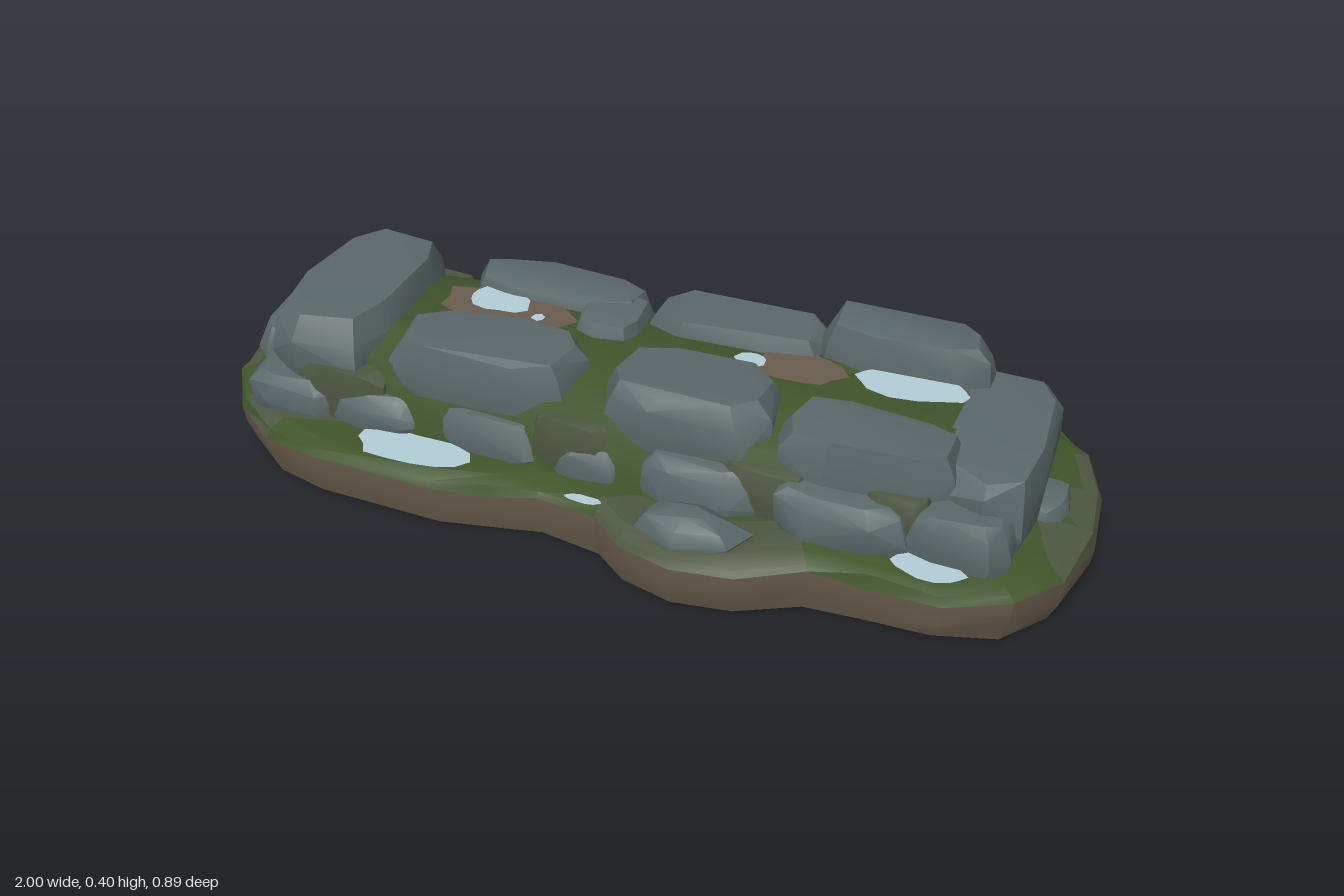
import * as THREE from 'three';
import { toCreasedNormals } from 'three/addons/utils/BufferGeometryUtils.js';
import { ConvexGeometry } from 'three/addons/geometries/ConvexGeometry.js';

const mat = (name, color) => {
  const m = new THREE.MeshStandardMaterial({ color });
  m.name = name;
  return m;
};

// Small seeded generator, returns -1..1
let seed = 7;
const rnd = () => {
  seed = (seed * 16807) % 2147483647;
  return (seed / 2147483647) * 2 - 1;
};

// Ground outline as [x, z]
const OUTLINE = [
  [-1, 0], [-0.97, 0.13], [-0.9, 0.24], [-0.78, 0.33], [-0.65, 0.37], [-0.35, 0.375], [-0.22, 0.35],
  [-0.12, 0.33], [0.02, 0.345], [0.1, 0.41], [0.22, 0.445], [0.35, 0.425], [0.48, 0.355], [0.6, 0.345],
  [0.75, 0.35], [0.88, 0.3], [0.96, 0.2], [1, 0.05], [0.99, -0.1], [0.95, -0.23], [0.87, -0.31],
  [0.75, -0.345], [0.62, -0.35], [0.52, -0.33], [0.42, -0.38], [0.2, -0.445], [0.08, -0.39],
  [-0.05, -0.34], [-0.2, -0.33], [-0.4, -0.36], [-0.6, -0.37], [-0.78, -0.345], [-0.9, -0.25], [-0.97, -0.13],
];

// Outline drawn in by d, at height y with optional height jitter
const ring = (d, y, jitter = 0) =>
  OUTLINE.map(([x, z]) => [x * (1 - d), y + rnd() * jitter, z * (1 - d / 0.4)]);

// Skin through closed rings, lowest first
function loft(rings, { top = false, bottom = false } = {}) {
  const n = rings[0].length, pos = rings.flat(2), idx = [];
  for (let r = 0; r < rings.length - 1; r++) {
    for (let i = 0; i < n; i++) {
      const a = r * n + i, b = r * n + ((i + 1) % n);
      idx.push(a, b, b + n, a, b + n, a + n);
    }
  }
  const cap = (r, up) => {
    const c = pos.length / 3;
    pos.push(0, rings[r].reduce((s, p) => s + p[1], 0) / n, 0);
    for (let i = 0; i < n; i++) {
      const a = r * n + i, b = r * n + ((i + 1) % n);
      idx.push(c, up ? a : b, up ? b : a);
    }
  };
  if (top) cap(rings.length - 1, true);
  if (bottom) cap(0, false);
  const g = new THREE.BufferGeometry();
  g.setAttribute('position', new THREE.Float32BufferAttribute(pos, 3));
  g.setIndex(idx);
  return toCreasedNormals(g, 0.5);
}

// Gives every triangle whose centre passes the test the second material
function paint(g, test) {
  const p = g.attributes.position;
  for (let i = 0; i < p.count; i += 3) {
    const x = (p.getX(i) + p.getX(i + 1) + p.getX(i + 2)) / 3;
    const z = (p.getZ(i) + p.getZ(i + 1) + p.getZ(i + 2)) / 3;
    g.addGroup(i, 3, test(x, Math.abs(z)) ? 1 : 0);
  }
  return g;
}

// Faceted boulder filling the given box: [x0, x1, y0, y1, z0, z1]; a low power makes it boxier
function rock([x0, x1, y0, y1, z0, z1], { rough = 0.07, top = 0.76, n = 9, power = 0.6 } = {}) {
  const pts = [], turn = rnd() * 0.4;
  const bulge = (v) => Math.sign(v) * Math.abs(v) ** power;
  for (const [h, s] of [[0, 0.85], [0.35, 1], [0.72, (0.95 + top) / 1.85], [1, top]]) {
    for (let i = 0; i < n; i++) {
      const a = (i / n) * Math.PI * 2 + turn, k = s * (1 + rnd() * rough) / 2;
      pts.push(new THREE.Vector3(
        (x0 + x1) / 2 + bulge(Math.cos(a)) * k * (x1 - x0),
        y0 + (h - (h === 1 ? Math.abs(rnd()) * 0.1 : rnd() * 0.1)) * (y1 - y0),
        (z0 + z1) / 2 + bulge(Math.sin(a)) * k * (z1 - z0)));
    }
  }
  return toCreasedNormals(new ConvexGeometry(pts), 0.5);
}

// Flat irregular patch lying on the ground
function patch(w, d) {
  const pts = [];
  for (let i = 0; i < 14; i++) {
    const a = (i / 14) * Math.PI * 2, k = 1 + rnd() * 0.14;
    pts.push(new THREE.Vector2(Math.cos(a) * w / 2 * k, Math.sin(a) * d / 2 * k));
  }
  return new THREE.ShapeGeometry(new THREE.Shape(pts)).rotateX(-Math.PI / 2);
}

export function createModel() {
  seed = 7;
  const group = new THREE.Group();
  const stone = mat('slate stone', 0x5a6769);
  const moss = mat('moss green', 0x40542a);
  const dryMoss = mat('dull moss', 0x4c563f);
  const earth = mat('brown earth', 0x685c4c);
  const water = mat('pale water', 0xb2ced8);
  const add = (name, geometry, material) => {
    const m = new THREE.Mesh(geometry, material);
    m.name = name;
    group.add(m);
    return m;
  };

  // Earth slab with a mossy lip and top, duller on the side bulges and at the ends
  const lip = ring(0, 0.106, 0.016);
  add('earthBase', loft([ring(0.022, 0.006, 0.005), ring(0.004, 0.06, 0.012), lip], { bottom: true }), earth);
  const mossTop = loft([lip, ring(0.01, 0.126, 0.006), ring(0.04, 0.138, 0.004), ring(0.13, 0.142)], { top: true });
  add('mossTop', paint(mossTop, (x, z) => (x > 0.04 && x < 0.47 && z > 0.29) || (x > 0.9 && z < 0.2)
    || (x < -0.93 && z < 0.1) || (x > -0.84 && x < -0.66 && z > 0.2 && z < 0.3)), [moss, dryMoss]);

  // Mossy mound that shows between the rocks
  const oval = (hx, hz, y) => Array.from({ length: 24 }, (_, i) => {
    const a = Math.PI - (i / 24) * Math.PI * 2, c = Math.cos(a), s = Math.sin(a);
    return [Math.sign(c) * Math.abs(c) ** 0.5 * hx, y + rnd() * 0.006, Math.sign(s) * Math.abs(s) ** 0.5 * hz];
  });
  add('mossMound', loft([oval(0.86, 0.265, 0.13), oval(0.83, 0.245, 0.21), oval(0.78, 0.215, 0.275),
    oval(0.7, 0.13, 0.312)], { top: true }), moss);

  // Large upper rocks
  const upper = {
    leftBlock: [-0.845, -0.55, 0.16, 0.375, -0.25, 0.25],
    backRockLeft: [-0.5, -0.04, 0.16, 0.355, -0.25, -0.09],
    backRockInner: [-0.2, -0.03, 0.18, 0.345, -0.2, 0.0],
    backRockMiddle: [-0.06, 0.39, 0.16, 0.355, -0.25, -0.07],
    backBoulder: [0.33, 0.73, 0.2, 0.405, -0.25, -0.09],
    frontRockLeft: [-0.55, -0.08, 0.16, 0.36, 0.01, 0.24],
    frontRockMiddle: [-0.05, 0.35, 0.16, 0.365, 0.0, 0.235],
    frontRockRight: [0.33, 0.74, 0.16, 0.345, 0.04, 0.24],
    rightBlock: [0.66, 0.89, 0.14, 0.315, -0.255, 0.23],
  };
  for (const [name, box] of Object.entries(upper)) add(name, rock(box, { rough: 0.05, top: 0.82 }), stone);

  // Lower ring of rocks, front and back: x0, x1, top, outer z
  const lower = [
    [-0.88, -0.62, 0.23, 0.28], [-0.66, -0.42, 0.22, 0.275], [-0.42, -0.12, 0.235, 0.27],
    [-0.14, 0.06, 0.21, 0.27], [0.06, 0.36, 0.24, 0.285], [0.36, 0.66, 0.25, 0.305], [0.62, 0.87, 0.25, 0.285],
  ];
  // Mossy lumps wedged between them: x, half width, top
  const lumps = [[-0.63, 0.12, 0.265], [-0.08, 0.1, 0.265], [0.35, 0.11, 0.255], [0.62, 0.08, 0.26]];
  for (const side of [1, -1]) {
    const span = (a, b) => (side > 0 ? [a, b] : [-b, -a]);
    for (const [x0, x1, y, z] of lower) {
      add('lowerRock', rock([x0, x1, 0.11, y, ...span(0.13, z)], { rough: 0.08, top: 0.74, power: 0.7 }), stone);
    }
    for (const [x, w, y] of lumps) {
      add('mossLump', rock([x - w, x + w, 0.12, y, ...span(0.14, 0.262)], { top: 0.8 }), dryMoss);
    }
  }

  // End rocks and small pointed outcrops
  add('leftEndRock', rock([-0.955, -0.78, 0.11, 0.235, -0.18, 0.12]), stone);
  add('rightEndRock', rock([0.84, 0.935, 0.11, 0.175, -0.07, 0.06]), stone);
  const pointed = { rough: 0.12, top: 0.3, n: 6, power: 0.95 };
  add('frontOutcrop', rock([0.1, 0.36, 0.11, 0.195, 0.28, 0.42], pointed), stone);
  add('backOutcrop', rock([0.1, 0.36, 0.11, 0.19, -0.42, -0.28], pointed), stone);

  // Ground patches: x, z, width, depth, height
  const patches = {
    bareEarth: [earth, [[-0.35, -0.05, 0.32, 0.17, 0.319], [0.33, -0.05, 0.2, 0.13, 0.319],
      [0.17, 0.3, 0.08, 0.04, 0.146]]],
    puddle: [water, [[-0.39, -0.31, 0.22, 0.085, 0.147], [-0.54, -0.32, 0.04, 0.025, 0.147],
      [-0.02, -0.335, 0.08, 0.03, 0.147], [0.7, -0.3, 0.2, 0.085, 0.147], [-0.43, 0.305, 0.26, 0.115, 0.147],
      [-0.01, 0.337, 0.09, 0.025, 0.147], [0.71, 0.295, 0.15, 0.08, 0.147], [-0.38, -0.07, 0.16, 0.1, 0.323],
      [-0.27, -0.03, 0.03, 0.03, 0.323], [0.225, -0.035, 0.07, 0.05, 0.323], [0.57, -0.06, 0.26, 0.11, 0.323]]],
  };
  for (const [name, [material, list]] of Object.entries(patches)) {
    for (const [x, z, w, d, y] of list) add(name, patch(w, d), material).position.set(x, y, z);
  }

  return group;
}
